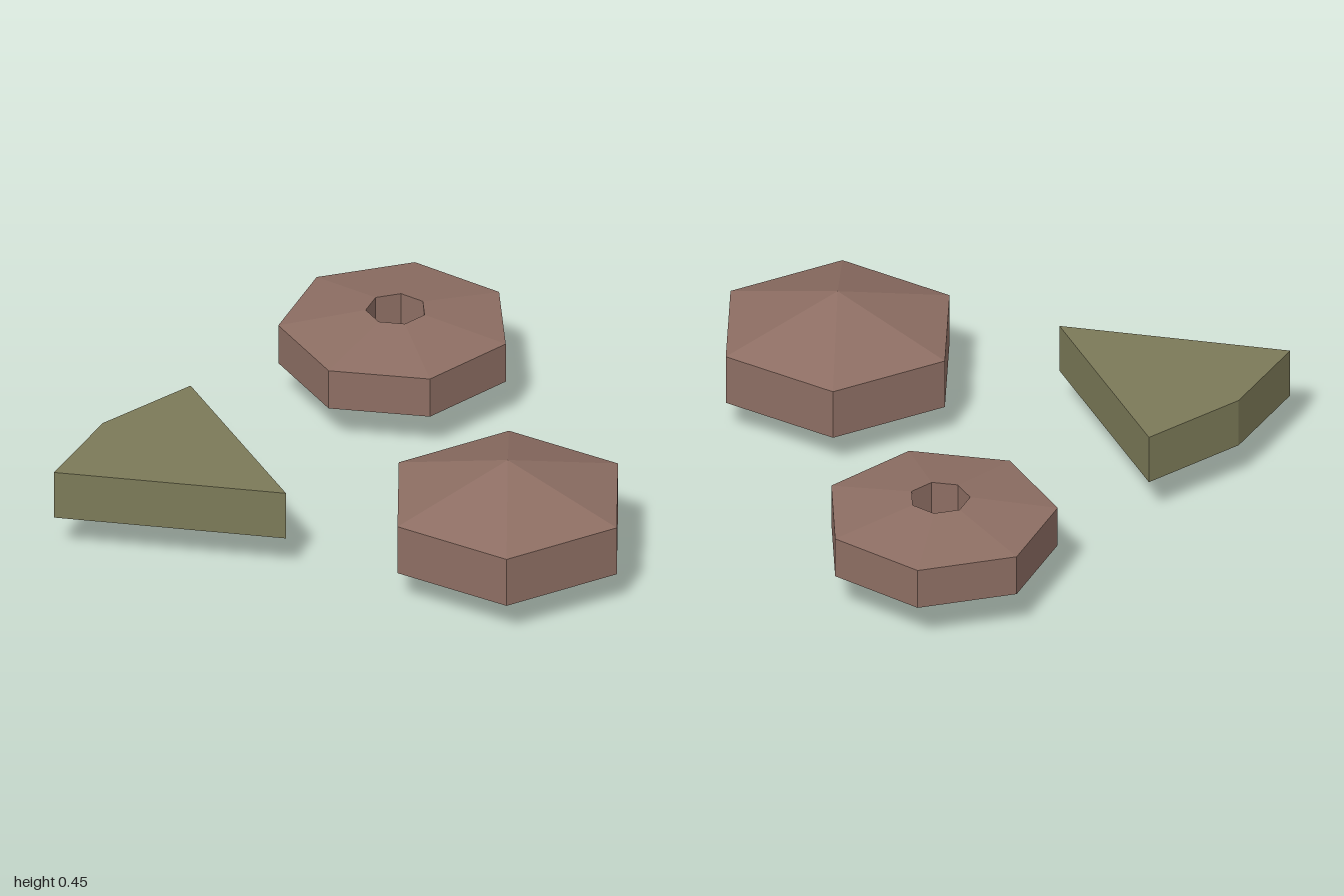
import * as THREE from 'three';

const brown = new THREE.MeshStandardMaterial({ color: 0x8d6e63 });
brown.name = 'brown';
const olive = new THREE.MeshStandardMaterial({ color: 0x7c7a58 });
olive.name = 'olive';

// Separate the faces so that each one is shaded flat
function flat(geometry) {
  const g = geometry.index ? geometry.toNonIndexed() : geometry;
  g.computeVertexNormals();
  return g;
}

// Faceted solid turned from a [radius, y] profile, with one corner on +x
function faceted(name, profile, sides, x, z) {
  const points = profile.map(([r, y]) => new THREE.Vector2(r, y));
  const mesh = new THREE.Mesh(flat(new THREE.LatheGeometry(points, sides, Math.PI / 2)), brown);
  mesh.name = name;
  mesh.position.set(x, 0, z);
  return mesh;
}

export function createModel() {
  const group = new THREE.Group();
  group.name = 'stonePieces';

  // Six-sided stone, pointed above and below
  group.add(faceted('hexagonalStone',
    [[0, 0], [0.435, 0.125], [0.435, 0.31], [0, 0.45]], 6, 0.316, 0.62));

  // Seven-sided ring with a hole through the middle
  group.add(faceted('piercedStone',
    [[0.105, 0.11], [0.406, 0.15], [0.406, 0.3], [0.105, 0.35], [0.105, 0.11]], 7, 0.567, -0.605));

  // Flat four-cornered shard, outlined as [x, z]
  const outline = [[-0.975, -0.265], [-0.35, 0.25], [-0.278, -0.545], [-0.665, -0.473]];
  const shape = new THREE.Shape(outline.map(([x, z]) => new THREE.Vector2(x, -z)));
  const shardGeometry = new THREE.ExtrudeGeometry(shape, { depth: 0.18, bevelEnabled: false });
  shardGeometry.rotateX(-Math.PI / 2).translate(0, 0.14, 0);
  const shard = new THREE.Mesh(flat(shardGeometry), olive);
  shard.name = 'shard';
  group.add(shard);

  return group;
}
